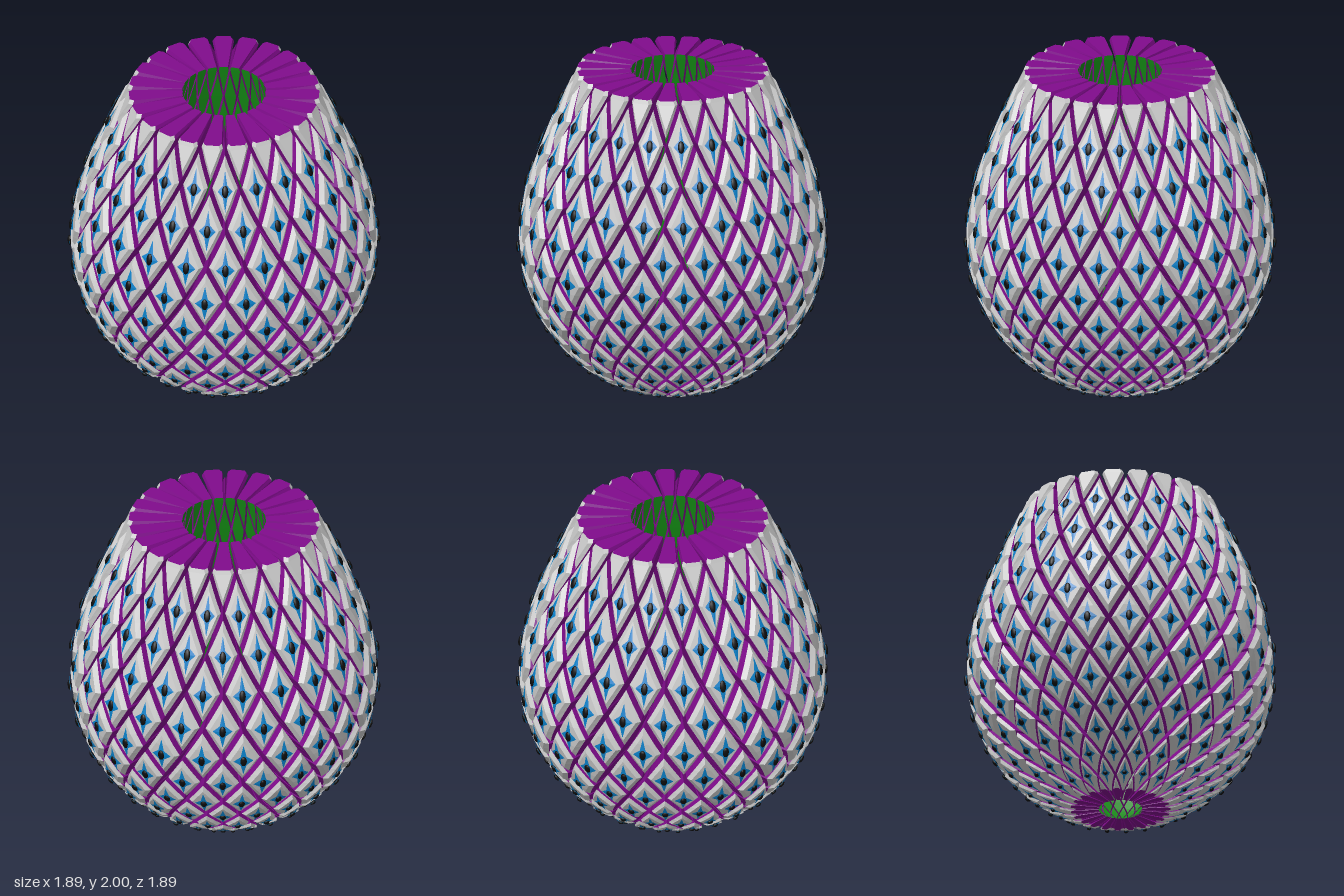
import * as THREE from 'three';
import { mergeGeometries } from 'three/addons/utils/BufferGeometryUtils.js';

const COUNT = 23;                 // cells around
const HALF = Math.PI / COUNT;     // half the angular pitch
const GAP = 0.02;                 // half the angular gap between cells
const BEVEL = 0.03;               // angular width of the bevelled border
const BORE = 0.44;                // inner radius as a share of the outer one
const HEIGHT = 2;
const ROWS = [-0.08, -0.02, 0.05, 0.13, 0.23, 0.36, 0.5, 0.67, 0.86, 1.07, 1.29, 1.52, 1.75, 1.975, 2.2];
const UPPER = [[0.93, 0.925], [1.07, 0.915], [1.29, 0.87], [1.52, 0.79], [1.75, 0.69], [2, 0.575], [2.3, 0.42]];

// Egg profile: elliptical below the widest point, tapering above it
function radius(y) {
  if (y <= 0.93) return 0.925 * Math.sqrt(Math.max(0.01, 1 - ((0.93 - y) / 0.983) ** 2));
  let i = 0;
  while (i < UPPER.length - 2 && y > UPPER[i + 1][0]) i++;
  const [a, b] = [UPPER[i], UPPER[i + 1]];
  return a[1] + (b[1] - a[1]) * (y - a[0]) / (b[0] - a[0]);
}

const polar = (angle, r, y) => new THREE.Vector3(r * Math.sin(angle), y, r * Math.cos(angle));

function addTriangle(list, a, b, c) {
  const area = b.clone().sub(a).cross(c.clone().sub(a)).length();
  if (area > 1e-8) list.push(a, b, c);
}

function addQuad(list, a, b, c, d) {
  addTriangle(list, a, b, c);
  addTriangle(list, a, c, d);
}

function buildMesh(name, points, color) {
  const geometry = new THREE.BufferGeometry().setFromPoints(points);
  geometry.computeVertexNormals();
  const mesh = new THREE.Mesh(geometry, new THREE.MeshStandardMaterial({ color, flatShading: true }));
  mesh.name = name;
  return mesh;
}

// One diamond cell, lofted through horizontal sections and cut flat at both ends
function addCell(parts, angle, yc, below, above) {
  const tip = 1 - GAP / HALF, shoulder = 1 - (GAP + BEVEL) / HALF;
  const toY = t => yc + t * (t < 0 ? below : above);
  const ends = [Math.max(0, toY(-tip)), Math.min(HEIGHT, toY(tip))];
  if (ends[1] - ends[0] < 1e-4) return;
  const levels = [-shoulder, -0.35, 0, 0.35, shoulder].map(toY)
    .filter(y => y > ends[0] + 1e-4 && y < ends[1] - 1e-4);
  const rings = [ends[0], ...levels, ends[1]].map(y => {
    const t = (y - yc) / (y < yc ? below : above);
    const w = Math.max(0, HALF * (1 - Math.abs(t)) - GAP);
    const raised = Math.max(0, w - BEVEL);
    const face = radius(y) + 0.01 * t;
    const rim = face - 0.025;
    const crest = rim + 0.025 * Math.min(1, w / BEVEL);
    const bore = radius(y) * BORE;
    return [
      polar(angle - w, rim, y), polar(angle - raised, crest, y),
      polar(angle + raised, crest, y), polar(angle + w, rim, y),
      polar(angle + w, bore, y), polar(angle - w, bore, y),
    ];
  });
  const target = [parts.faces, parts.faces, parts.faces, parts.walls, parts.bores, parts.walls];
  for (let k = 0; k < rings.length - 1; k++) {
    for (let i = 0; i < 6; i++) {
      const j = (i + 1) % 6;
      addQuad(target[i], rings[k][i], rings[k][j], rings[k + 1][j], rings[k + 1][i]);
    }
  }
  // Flat ends where the cell is cut
  const low = rings[0], high = rings[rings.length - 1];
  for (const [a, b, c, d] of [[0, 1, 2, 3], [0, 3, 4, 5]]) {
    addQuad(parts.walls, high[a], high[b], high[c], high[d]);
    addQuad(parts.walls, low[d], low[c], low[b], low[a]);
  }
}

// Four-pointed star, slightly domed, on the middle of a cell
function addStar(list, angle, yc, below, above) {
  const outline = [];
  for (let i = 0; i < 8; i++) {
    const a = i * Math.PI / 4, s = i % 2 ? 0.42 : 1;
    const v = Math.sin(a) * s * 0.52;
    const y = yc + v * (v < 0 ? below : above);
    outline.push(polar(angle + Math.cos(a) * s * 0.065, radius(y) + (i % 2 ? 0.01 : 0.007), y));
  }
  const centre = polar(angle, radius(yc) + 0.014, yc);
  outline.forEach((p, i) => addTriangle(list, centre, p, outline[(i + 1) % 8]));
}

// Oval stud lying on the surface at the centre of a star
function makeStud(angle, yc, size) {
  const r = radius(yc);
  const slope = Math.atan2(radius(yc - 0.02) - radius(yc + 0.02), 0.04);
  const stud = new THREE.SphereGeometry(1, 10, 6);
  stud.scale(0.02 * Math.min(1, 0.3 + r), Math.max(0.012, size * 0.17), 0.012);
  stud.rotateX(-slope);
  stud.translate(0, yc, r + 0.012);
  stud.rotateY(angle);
  return stud;
}

export function createModel() {
  const model = new THREE.Group();
  model.name = 'diamondCellEgg';
  const parts = { faces: [], walls: [], bores: [], stars: [] };
  const studs = [];

  for (let row = 1; row < ROWS.length - 1; row++) {
    const yc = ROWS[row], below = yc - ROWS[row - 1], above = ROWS[row + 1] - yc;
    for (let i = 0; i < COUNT; i++) {
      const angle = (2 * i + row % 2) * HALF;   // alternate rows are staggered
      addCell(parts, angle, yc, below, above);
      if (row > 1 && row < ROWS.length - 2) {
        addStar(parts.stars, angle, yc, below, above);
        studs.push(makeStud(angle, yc, (below + above) / 2));
      }
    }
  }

  model.add(
    buildMesh('cellFaces', parts.faces, 0xcccccc),
    buildMesh('cellWalls', parts.walls, 0x800c8c),
    buildMesh('innerFaces', parts.bores, 0x148a14),
    buildMesh('stars', parts.stars, 0x0a80c8),
  );
  const studMesh = new THREE.Mesh(mergeGeometries(studs), new THREE.MeshStandardMaterial({ color: 0x0c0c0c }));
  studMesh.name = 'studs';
  model.add(studMesh);
  return model;
}
